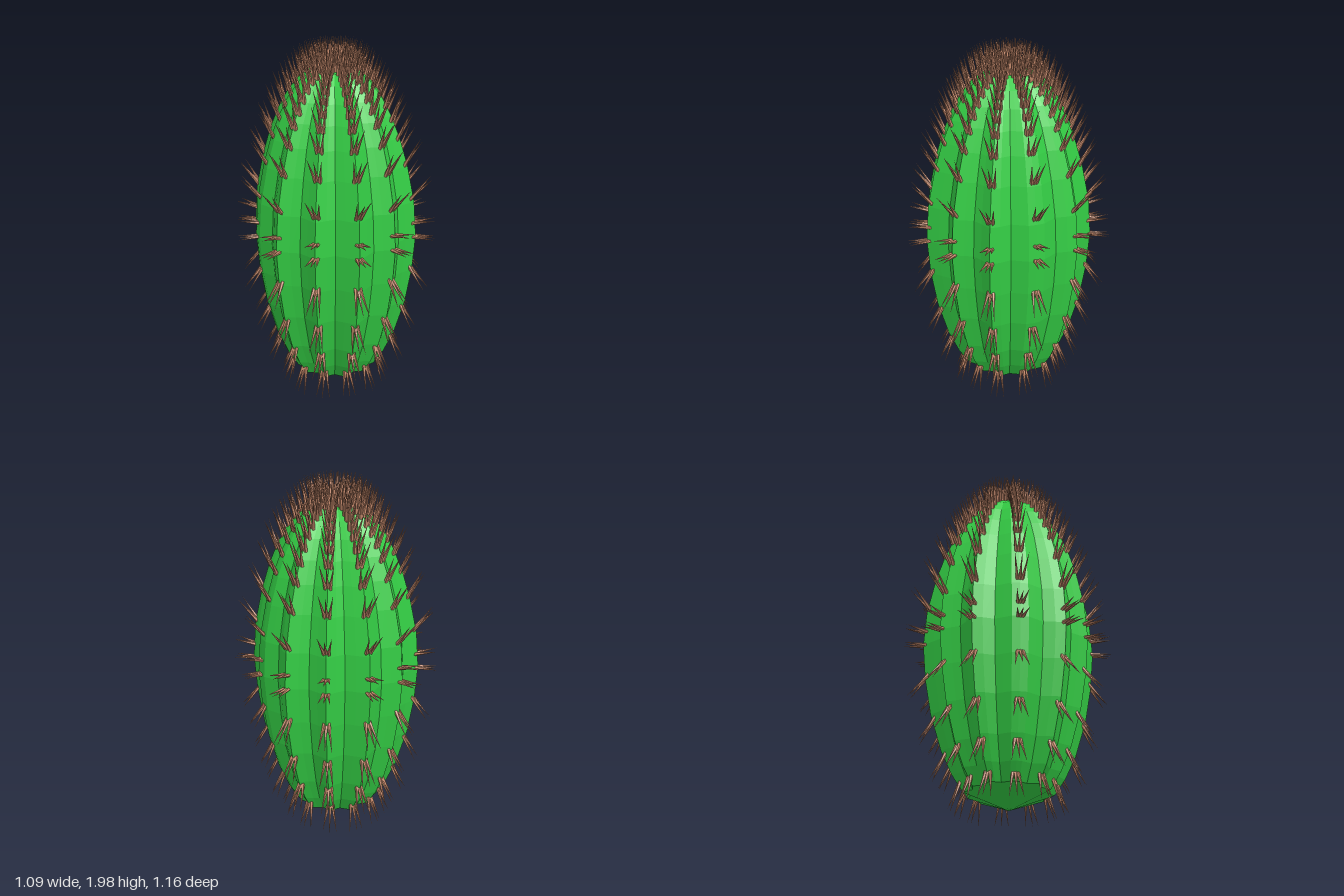
import * as THREE from 'three';
import { mergeGeometries } from 'three/addons/utils/BufferGeometryUtils.js';

// One quarter of the ribbed outline: angle in degrees, radius
const QUARTER = [
  [0, 0.437], [5.9, 0.436], [12, 0.418], [18.4, 0.405], [26, 0.438], [32.5, 0.463], [40, 0.424],
  [47.2, 0.404], [54, 0.424], [61, 0.456], [68, 0.418], [74.5, 0.397], [82, 0.427], [90, 0.472],
];
const RIDGES = [0, 5, 9, 13];
const MAX_R = 0.472;

// Profile along a ridge, bottom tip to sunken crown: radius, height
const PROFILE = [
  [0, 0.04], [0.24, 0.13], [0.3, 0.22], [0.36, 0.35], [0.42, 0.55], [0.455, 0.75], [0.472, 0.95],
  [0.458, 1.15], [0.416, 1.35], [0.37, 1.5], [0.32, 1.62], [0.265, 1.72], [0.2, 1.8],
  [0.13, 1.85], [0.065, 1.86], [0, 1.83],
];

// Spine clusters along each ridge: radius, height, elevation in degrees
const CLUSTERS = [
  [0.265, 0.18, -73], [0.345, 0.33, -66], [0.405, 0.53, -62], [0.45, 0.77, -54], [0.468, 0.95, 0],
  [0.465, 1.03, 14], [0.45, 1.17, 52], [0.412, 1.36, 62], [0.367, 1.5, 66], [0.33, 1.6, 70],
  [0.295, 1.67, 73], [0.26, 1.725, 75], [0.225, 1.77, 77], [0.19, 1.805, 79], [0.16, 1.83, 80],
  [0.125, 1.845, 81], [0.09, 1.85, 82], [0.055, 1.85, 83],
];

// Mirror the quarter into the full closed outline
function fullOutline() {
  const points = [];
  for (let q = 0; q < 4; q++) {
    for (let k = 0; k < 13; k++) {
      const [deg, r] = QUARTER[q % 2 ? 13 - k : k];
      points.push({
        angle: THREE.MathUtils.degToRad(q * 90 + (q % 2 ? 90 - deg : deg)),
        scale: r / MAX_R,
        ridge: RIDGES.includes(q % 2 ? 13 - k : k),
      });
    }
  }
  return points;
}

function bodyGeometry(outline) {
  const n = outline.length, positions = [], index = [];
  for (const [r, y] of PROFILE) {
    for (const { angle, scale } of outline) {
      positions.push(r * scale * Math.cos(angle), y, r * scale * Math.sin(angle));
    }
  }
  for (let j = 0; j < PROFILE.length - 1; j++) {
    for (let i = 0; i < n; i++) {
      const a = j * n + i, b = j * n + (i + 1) % n;
      if (PROFILE[j][0] > 0) index.push(a, a + n, b);
      if (PROFILE[j + 1][0] > 0) index.push(b, a + n, b + n);
    }
  }
  const geometry = new THREE.BufferGeometry();
  geometry.setAttribute('position', new THREE.Float32BufferAttribute(positions, 3));
  geometry.setIndex(index);
  const flat = geometry.toNonIndexed();
  flat.computeVertexNormals();
  return flat;
}

// A slim spike with its base at the origin, pointing along +y
function spikeGeometry(length) {
  const spike = new THREE.ConeGeometry(0.011, length, 5);
  spike.translate(0, length / 2 - 0.01, 0);
  return spike;
}

// Three spikes fanned out sideways from one point on a ridge
function clusterSpikes(angle, scale, [r, y, elevation]) {
  const up = new THREE.Vector3(0, 1, 0);
  const out = new THREE.Vector3(Math.cos(angle), 0, Math.sin(angle));
  const side = new THREE.Vector3(-Math.sin(angle), 0, Math.cos(angle));
  const length = Math.abs(elevation) < 20 ? 0.13 : 0.17;
  return [-1, 0, 1].map((s) => {
    const e = THREE.MathUtils.degToRad(elevation - (s === 0 ? Math.sign(elevation) * 6 : 0));
    const dir = out.clone().multiplyScalar(Math.cos(e))
      .addScaledVector(up, Math.sin(e)).addScaledVector(side, s * 0.17).normalize();
    const base = out.clone().multiplyScalar(r * scale - 0.008)
      .addScaledVector(up, y).addScaledVector(side, s * 0.012);
    return spikeGeometry(length)
      .applyQuaternion(new THREE.Quaternion().setFromUnitVectors(up, dir))
      .translate(base.x, base.y, base.z);
  });
}

export function createModel() {
  const group = new THREE.Group();
  group.name = 'cactus';
  const green = new THREE.MeshStandardMaterial({ color: 0x33cc44, flatShading: true });
  const brown = new THREE.MeshStandardMaterial({ color: 0xc68a6c, flatShading: true });
  const outline = fullOutline();

  // Ribbed barrel
  const body = new THREE.Mesh(bodyGeometry(outline), green);
  body.name = 'ribbedBody';
  group.add(body);

  // One row of spines per ridge
  for (const { angle, scale } of outline.filter((p) => p.ridge)) {
    const spikes = CLUSTERS.flatMap((c) => clusterSpikes(angle, scale, c));
    const row = new THREE.Mesh(mergeGeometries(spikes), brown);
    row.name = 'spineRow';
    group.add(row);
  }
  return group;
}
